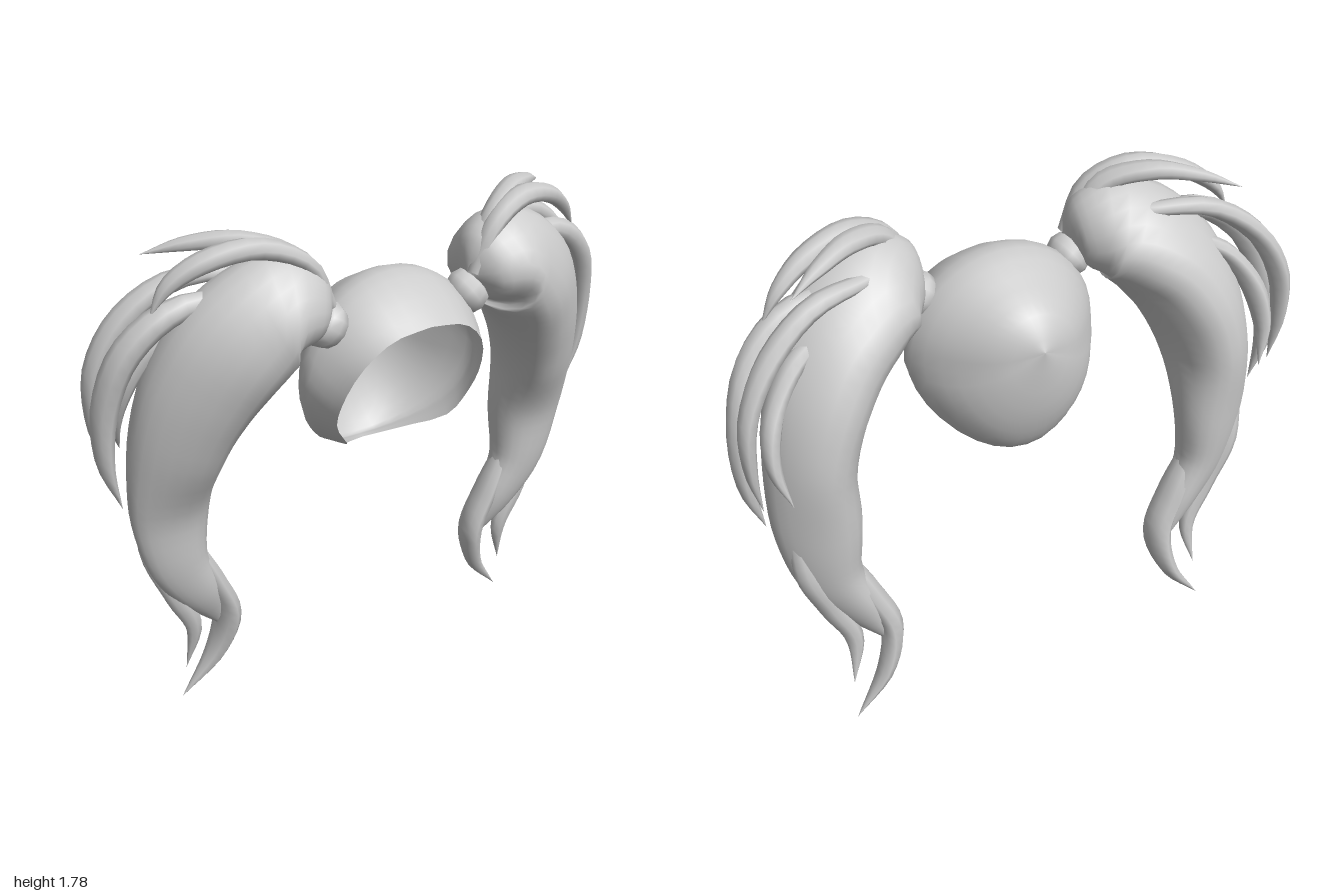
import * as THREE from 'three';

const material = new THREE.MeshStandardMaterial({ color: 0xcccccc, side: THREE.DoubleSide });
const V = (x, y, z) => new THREE.Vector3(x, y, z);

// Joins rows of points (each row a closed loop) into a smooth surface
function skin(rows) {
  const n = rows[0].length, index = [];
  for (let i = 0; i < rows.length - 1; i++) {
    for (let j = 0; j < n; j++) {
      const a = i * n + j, b = i * n + (j + 1) % n;
      index.push(a, b, a + n, b, b + n, a + n);
    }
  }
  const geometry = new THREE.BufferGeometry().setFromPoints(rows.flat());
  geometry.setIndex(index);
  geometry.computeVertexNormals();
  return geometry;
}

function addMesh(parent, name, geometry) {
  const mesh = new THREE.Mesh(geometry, material);
  mesh.name = name;
  parent.add(mesh);
  return mesh;
}

// Lofted lock of hair; stations are [x, y, z, thickness, breadth], side mirrors x,
// egg makes the section broader on its inner side
function lock(stations, side, steps, sides, egg) {
  const path = new THREE.CatmullRomCurve3(stations.map(([x, y, z]) => V(x * side, y, z)));
  const sizes = new THREE.CatmullRomCurve3(stations.map(s => V(s[3], s[4], 0)));
  const rows = [];
  for (let i = 0; i <= steps; i++) {
    const t = i / steps, c = path.getPoint(t), T = path.getTangent(t), r = sizes.getPoint(t);
    const b = V(-0.2 * side, 0, 0.98);
    b.addScaledVector(T, -b.dot(T)).normalize();
    const n = b.clone().cross(T);
    rows.push(Array.from({ length: sides }, (_, j) => {
      const a = j / sides * Math.PI * 2, u = Math.cos(a);
      return c.clone().addScaledVector(n, u * Math.max(r.x, 0))
        .addScaledVector(b, Math.sin(a) * (1 - egg * side * u) * Math.max(r.y, 0));
    }));
  }
  return skin(rows);
}

// Thin strand tapering to a point at its end
function strand(points, thick, broad, side) {
  const last = points.length - 1;
  const stations = points.map((p, i) => {
    const f = i === last ? 0 : Math.pow(Math.sin(Math.PI * (0.15 + 0.85 * i / last)), 0.7);
    return [...p, thick * f, broad * f];
  });
  return lock(stations, side, 18, 8, 0);
}

// Shell over the head, open at the face and neck, gathered high at the back
function capGeometry() {
  const rim = new THREE.CatmullRomCurve3([
    V(0, 1.44, 0.28), V(0.14, 1.415, 0.27), V(0.235, 1.33, 0.24), V(0.275, 1.2, 0.18),
    V(0.265, 1.1, 0.13), V(0.21, 1.02, 0.1), V(0.12, 0.94, -0.04), V(0, 0.9, -0.12),
  ]);
  const count = 36, steps = 14, lines = [];
  for (let j = 0; j < count; j++) {
    const a = j / count * Math.PI * 2, s = Math.sin(a), c = Math.cos(a);
    const edge = rim.getPoint(1 - Math.abs(1 - 2 * j / count));
    if (s < 0) edge.x *= -1;
    const middle = V(0.34 * s, 1.24 + 0.335 * c, c < 0 ? 0.04 - 0.19 * c * c : 0.04);
    const bulge = middle.clone().lerp(edge, 0.5);
    bulge.x *= c > 0 ? 1.06 : 1.03;
    bulge.y = 1.24 + (bulge.y - 1.24) * (c > 0 ? 1.08 : 1);
    const line = new THREE.CatmullRomCurve3([
      V(0, 1.35, -0.275), V(0.14 * s, 1.29 + 0.16 * c, -0.22 - 0.03 * Math.max(-c, 0)),
      V(0.26 * s, 1.25 + 0.27 * c, -0.1 - 0.1 * Math.max(-c, 0)), middle, bulge, edge,
    ]);
    lines.push(line.getPoints(steps));
  }
  const rows = [];
  for (let i = 0; i <= steps; i++) rows.push(lines.map(l => l[i]).reverse());
  return skin(rows);
}

const BODY = [
  [0.265, 1.51, 0.11, 0, 0], [0.315, 1.525, 0.1, 0.115, 0.12], [0.43, 1.54, 0.065, 0.175, 0.195],
  [0.58, 1.44, 0.01, 0.185, 0.21], [0.69, 1.27, -0.055, 0.17, 0.2], [0.75, 1.06, -0.105, 0.15, 0.165],
  [0.755, 0.83, -0.148, 0.145, 0.1], [0.73, 0.62, -0.155, 0.11, 0.075],
  [0.64, 0.45, -0.17, 0.075, 0.055], [0.55, 0.27, -0.2, 0, 0],
];

// Loose strands: name, thickness, breadth, path
const STRANDS = [
  ['crownStrand', 0.035, 0.05, [[0.28, 1.52, 0.12], [0.36, 1.67, 0.12], [0.5, 1.735, 0.08],
    [0.66, 1.71, 0.03], [0.77, 1.64, -0.01], [0.83, 1.55, -0.02]]],
  ['topWisp', 0.03, 0.045, [[0.29, 1.55, 0.09], [0.38, 1.69, 0.08], [0.52, 1.745, 0],
    [0.66, 1.735, -0.09], [0.78, 1.7, -0.17]]],
  ['outerStrand', 0.045, 0.055, [[0.52, 1.58, 0.03], [0.75, 1.56, -0.01], [0.895, 1.44, -0.06],
    [0.96, 1.25, -0.11], [0.965, 1.05, -0.13], [0.92, 0.88, -0.13]]],
  ['rearOuterStrand', 0.035, 0.05, [[0.48, 1.63, -0.04], [0.7, 1.62, -0.11], [0.86, 1.51, -0.16],
    [0.95, 1.35, -0.19], [0.965, 1.17, -0.2], [0.94, 1, -0.2]]],
  ['innerStrand', 0.035, 0.05, [[0.66, 1.5, -0.06], [0.78, 1.43, -0.11], [0.87, 1.3, -0.16],
    [0.895, 1.16, -0.21], [0.86, 1.03, -0.26]]],
  ['lowerStrand', 0.045, 0.035, [[0.84, 0.85, -0.17], [0.815, 0.66, -0.18], [0.74, 0.48, -0.17],
    [0.675, 0.32, -0.18], [0.7, 0.14, -0.21]]],
  ['tipStrand', 0.042, 0.065, [[0.68, 0.68, -0.16], [0.6, 0.5, -0.17], [0.54, 0.34, -0.185],
    [0.58, 0.17, -0.215], [0.71, 0, -0.24]]],
];

function ponytail(side) {
  const group = new THREE.Group();
  group.name = side > 0 ? 'leftPonytail' : 'rightPonytail';
  addMesh(group, 'ponytailBody', lock(BODY, side, 40, 20, 0.3));
  for (const [name, thick, broad, points] of STRANDS) {
    addMesh(group, name, strand(points, thick, broad, side));
  }
  // Band holding the ponytail to the cap
  const profile = [[0.05, -0.045], [0.07, -0.035], [0.08, 0], [0.07, 0.035], [0.05, 0.045]];
  const tie = addMesh(group, 'hairTie',
    new THREE.LatheGeometry(profile.map(p => new THREE.Vector2(...p)), 12));
  tie.position.set(0.28 * side, 1.45, 0.09);
  tie.quaternion.setFromUnitVectors(V(0, 1, 0), V(0.8 * side, 0.58, 0.1).normalize());
  return group;
}

export function createModel() {
  const model = new THREE.Group();
  model.name = 'pigtailHair';
  addMesh(model, 'hairCap', capGeometry());
  model.add(ponytail(1), ponytail(-1));
  return model;
}
